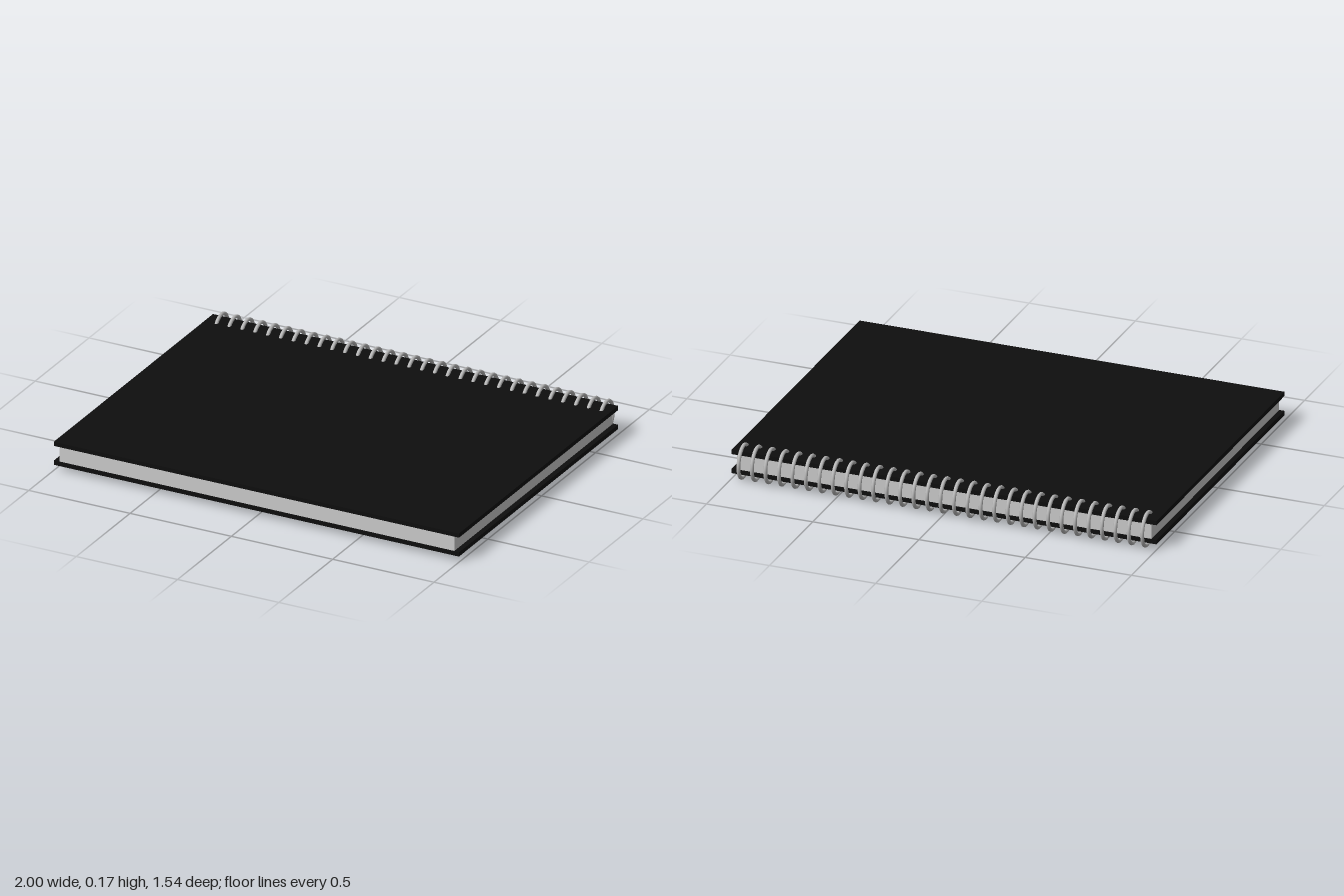
import * as THREE from 'three';

export function createModel() {
  const notebook = new THREE.Group();
  notebook.name = 'notebook';

  const material = (name, color) => {
    const m = new THREE.MeshStandardMaterial({ color });
    m.name = name;
    return m;
  };
  const black = material('coverBlack', 0x0e0e0e);
  const paper = material('paperGrey', 0xcccccc);
  const metal = material('wireGrey', 0xb8b8b8);

  const slab = (name, mat, width, y0, y1, z0, z1) => {
    const mesh = new THREE.Mesh(new THREE.BoxGeometry(width, y1 - y0, z1 - z0), mat);
    mesh.position.set(0, (y0 + y1) / 2, (z0 + z1) / 2);
    mesh.name = name;
    notebook.add(mesh);
  };

  // Covers and the slightly narrower block of pages
  slab('bottomCover', black, 2, 0.027, 0.047, -0.711, 0.768);
  slab('topCover', black, 2, 0.118, 0.138, -0.711, 0.768);
  slab('pages', paper, 1.95, 0.047, 0.118, -0.707, 0.764);

  // Row of slightly skewed wire rings through the back edge
  const binding = new THREE.Group();
  binding.name = 'wireBinding';
  const ringGeometry = new THREE.TorusGeometry(0.074, 0.0085, 10, 40);
  const count = 31;
  for (let i = 0; i < count; i++) {
    const ring = new THREE.Mesh(ringGeometry, metal);
    ring.name = 'wireRing';
    ring.position.set(-0.947 + (i * 1.9) / (count - 1), 0.0825, -0.687);
    ring.rotation.y = -(Math.PI / 2 - 0.08);
    binding.add(ring);
  }
  notebook.add(binding);

  return notebook;
}
